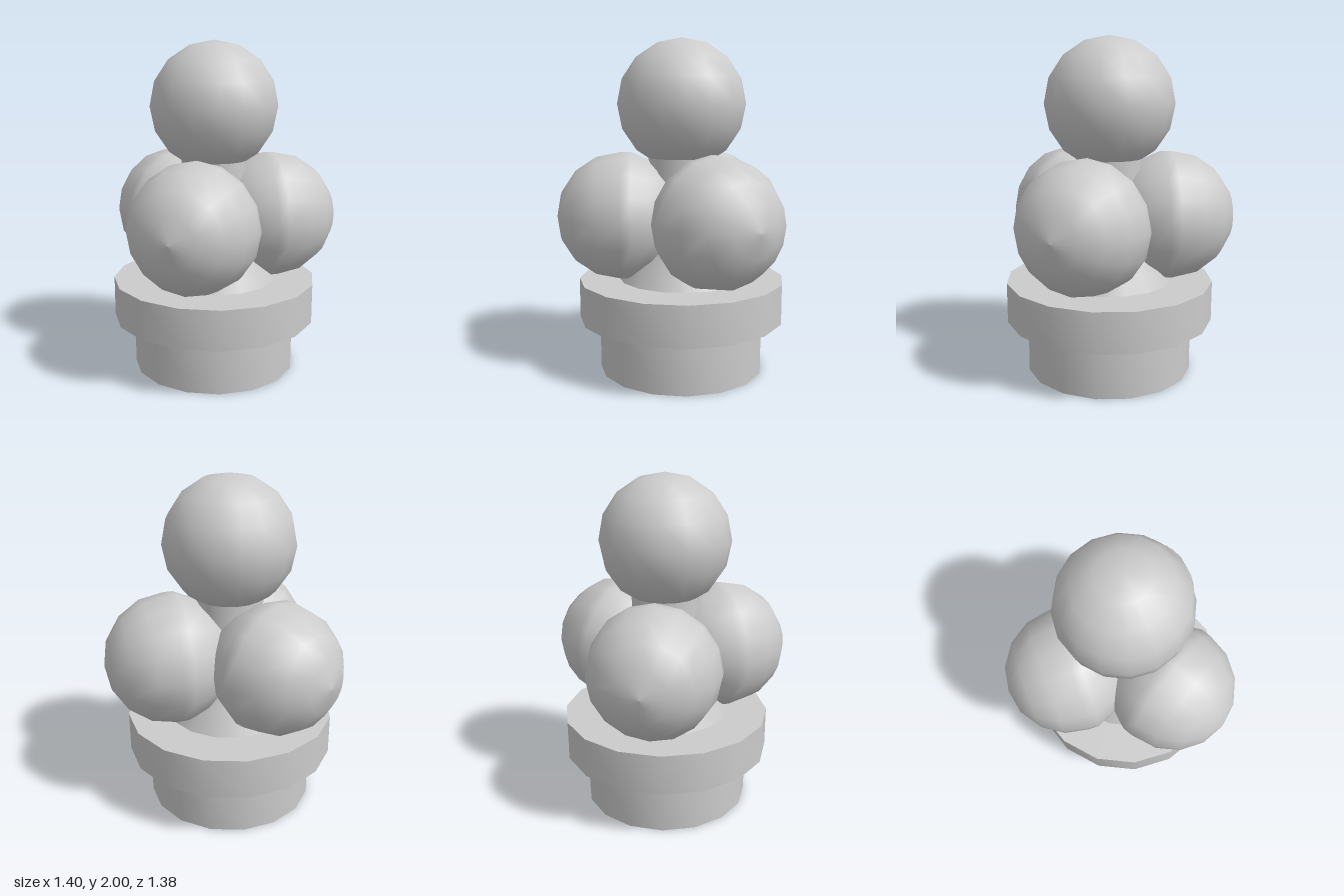
import * as THREE from 'three';
import { toCreasedNormals } from 'three/addons/utils/BufferGeometryUtils.js';

const SIDES = 16, R = 0.385;

export function createModel() {
  const model = new THREE.Group();
  model.position.z = -0.066;
  const material = new THREE.MeshStandardMaterial({ color: 0xcccccc });
  const doubleSided = new THREE.MeshStandardMaterial({ color: 0xcccccc, side: THREE.DoubleSide });

  const add = (name, geometry, mat = material) => {
    const mesh = new THREE.Mesh(geometry, mat);
    mesh.name = name;
    model.add(mesh);
    return mesh;
  };
  const lathe = (points) =>
    new THREE.LatheGeometry(points.map(([r, y]) => new THREE.Vector2(r, y)), SIDES);

  // Hollow base collar with a wider flange
  add('base', toCreasedNormals(lathe([
    [0.375, 0], [0.5, 0], [0.5, 0.32], [0.624, 0.32], [0.624, 0.56],
    [0.26, 0.56], [0.26, 0.32], [0.375, 0.32], [0.375, 0],
  ]), 0.6));

  // Flared stem between the balls
  add('stem', lathe([
    [0.38, 0.56], [0.31, 0.7], [0.25, 0.82], [0.21, 0.98], [0.2, 1.15], [0.2, 1.36],
  ]), doubleSided);

  // Ball on top
  add('topBall', new THREE.SphereGeometry(R, SIDES, 8)).position.y = 1.615;

  // Three side balls, slightly fuller towards the stem
  const profile = [[0, -0.385], [0.147, -0.355], [0.272, -0.272], [0.34, -0.164], [R, -0.06]];
  for (let i = 0; i <= 4; i++) {
    const a = (i * Math.PI) / 8;
    profile.push([i === 4 ? 0 : R * Math.cos(a), R * Math.sin(a)]);
  }
  const ballGeometry = lathe(profile).rotateX(Math.PI / 2);
  ['frontBall', 'backLeftBall', 'backRightBall'].forEach((name, i) => {
    const angle = (i * 2 * Math.PI) / 3;
    const ball = add(name, ballGeometry);
    ball.position.set(0.366 * Math.sin(angle), 0.945, 0.366 * Math.cos(angle));
    ball.rotation.y = angle;
  });

  const group = new THREE.Group();
  group.add(model);
  return group;
}
